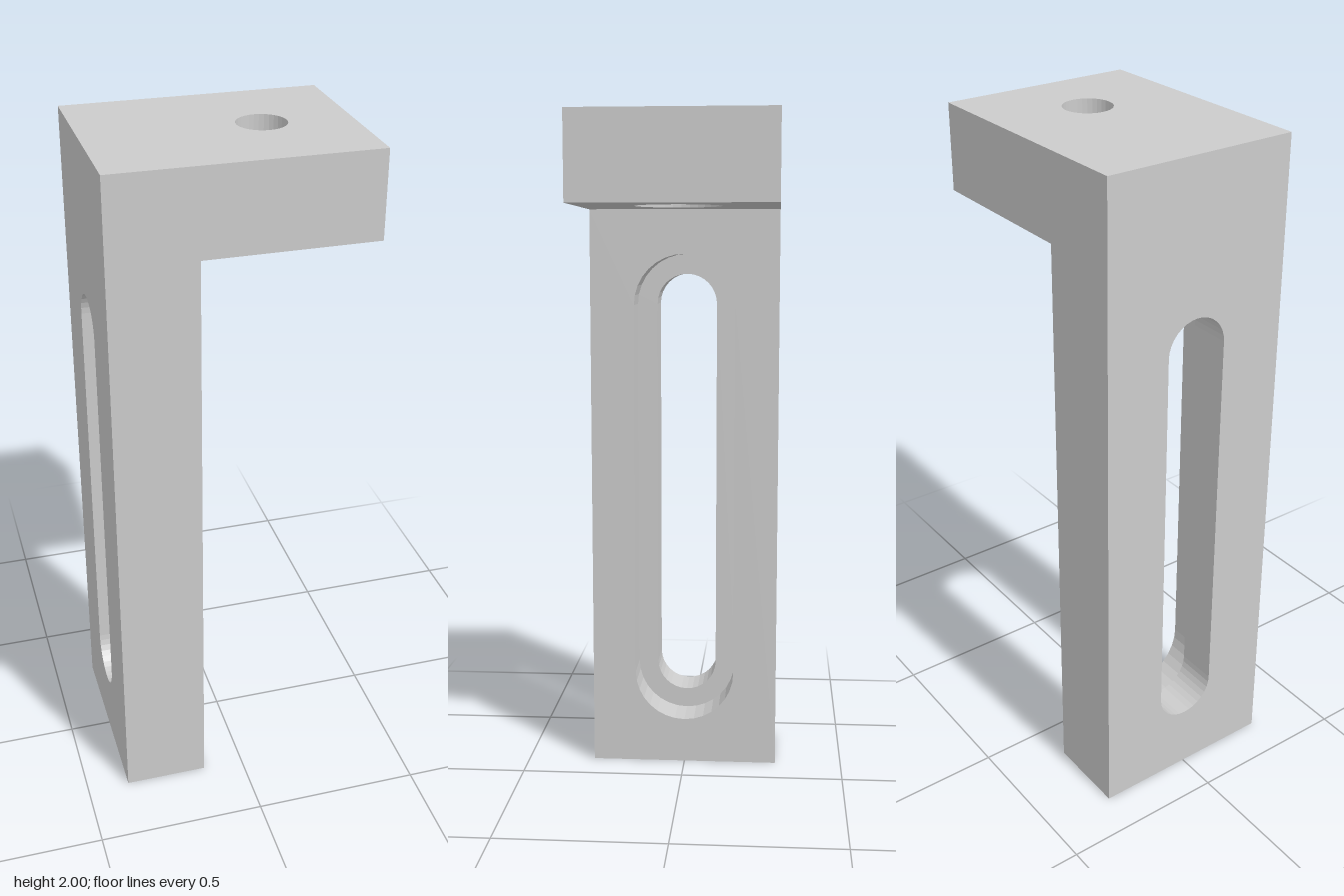
import * as THREE from 'three';
import { mergeGeometries } from 'three/addons/utils/BufferGeometryUtils.js';

const X = 0.373, INNER = -0.124, UNDER = 1.75, TOP = 2, Z = 0.291;
const V = (x, y, z) => new THREE.Vector3(x, y, z);
const basis = (u, v, w) => new THREE.Matrix4().makeBasis(u, v, w);

// Drawing planes, each with its third axis pointing out of the face
const RIGHT = basis(V(0, 0, -1), V(0, 1, 0), V(1, 0, 0));
const LEFT = basis(V(0, 0, 1), V(0, 1, 0), V(-1, 0, 0));
const UP = basis(V(1, 0, 0), V(0, 0, -1), V(0, 1, 0));
const DOWN = basis(V(1, 0, 0), V(0, 0, 1), V(0, -1, 0));
const FRONT = new THREE.Matrix4();
const BACK = basis(V(-1, 0, 0), V(0, 1, 0), V(0, 0, -1));

// Counter-clockwise rounded slot; a full circle when v0 equals v1
function slot(u, v0, v1, r) {
  const pts = [], n = 16, last = v1 > v0 ? n : n - 1;
  for (const [v, start] of [[v1, 0], [v0, Math.PI]]) {
    for (let i = 0; i <= last; i++) {
      const a = start + (Math.PI * i) / n;
      pts.push(new THREE.Vector2(u + r * Math.cos(a), v + r * Math.sin(a)));
    }
  }
  return pts;
}

const rect = (u0, v0, u1, v1) =>
  [[u0, v0], [u1, v0], [u1, v1], [u0, v1]].map(p => new THREE.Vector2(...p));

// Flat face at distance w along the plane's normal, with an optional hole
function panel(plane, w, outline, hole) {
  const shape = new THREE.Shape(outline);
  if (hole) shape.holes.push(new THREE.Path(hole));
  return new THREE.ShapeGeometry(shape).translate(0, 0, w).applyMatrix4(plane).toNonIndexed();
}

// Inward-facing wall of a hole from depth w0 to w1
function wall(plane, pts, w0, w1) {
  const pos = [], uv = [];
  pts.forEach((a, i) => {
    const b = pts[(i + 1) % pts.length];
    pos.push(a.x, a.y, w0, b.x, b.y, w1, b.x, b.y, w0);
    pos.push(a.x, a.y, w0, a.x, a.y, w1, b.x, b.y, w1);
    for (let k = 0; k < 6; k++) uv.push(0, 0);
  });
  const g = new THREE.BufferGeometry();
  g.setAttribute('position', new THREE.Float32BufferAttribute(pos, 3));
  g.setAttribute('uv', new THREE.Float32BufferAttribute(uv, 2));
  g.computeVertexNormals();
  return g.applyMatrix4(plane);
}

export function createModel() {
  const group = new THREE.Group();
  group.name = 'slottedAngleBracket';
  const material = new THREE.MeshStandardMaterial({ color: 0xcccccc, flatShading: true });
  const add = (name, parts) => {
    const mesh = new THREE.Mesh(mergeGeometries(parts), material);
    mesh.name = name;
    group.add(mesh);
  };

  // L-shaped body: two side faces, end faces and the drilled faces
  const profile = [[-X, 0], [INNER, 0], [INNER, UNDER], [X, UNDER], [X, TOP], [-X, TOP]];
  const ell = sign => profile.map(([x, y]) => new THREE.Vector2(sign * x, y));
  const slotWide = slot(0, 0.295, 1.46, 0.156), slotNarrow = slot(0, 0.295, 1.46, 0.094);
  const cx = 0.124, boreWide = slot(cx, 0, 0, 0.126), boreNarrow = slot(cx, 0, 0, 0.071);

  add('body', [
    panel(FRONT, Z, ell(1)),
    panel(BACK, Z, ell(-1)),
    panel(DOWN, 0, rect(-X, -Z, INNER, Z)),
    panel(RIGHT, X, rect(-Z, UNDER, Z, TOP)),
    panel(RIGHT, INNER, rect(-Z, 0, Z, UNDER), slotWide),
    panel(LEFT, X, rect(-Z, 0, Z, TOP), slotNarrow),
    panel(DOWN, -UNDER, rect(INNER, -Z, X, Z), boreWide),
    panel(UP, TOP, rect(-X, -Z, X, Z), boreNarrow),
  ]);

  // Stepped slot through the upright
  const slotStep = INNER - 0.125;
  add('steppedSlot', [
    wall(RIGHT, slotWide, slotStep, INNER),
    panel(RIGHT, slotStep, slotWide, slotNarrow),
    wall(RIGHT, slotNarrow, -X, slotStep),
  ]);

  // Counterbored hole through the top flange, wide end underneath
  const boreStep = UNDER + 0.125;
  add('counterboredHole', [
    wall(DOWN, boreWide, -boreStep, -UNDER),
    panel(DOWN, -boreStep, boreWide, boreNarrow),
    wall(DOWN, boreNarrow, -TOP, -boreStep),
  ]);

  return group;
}
